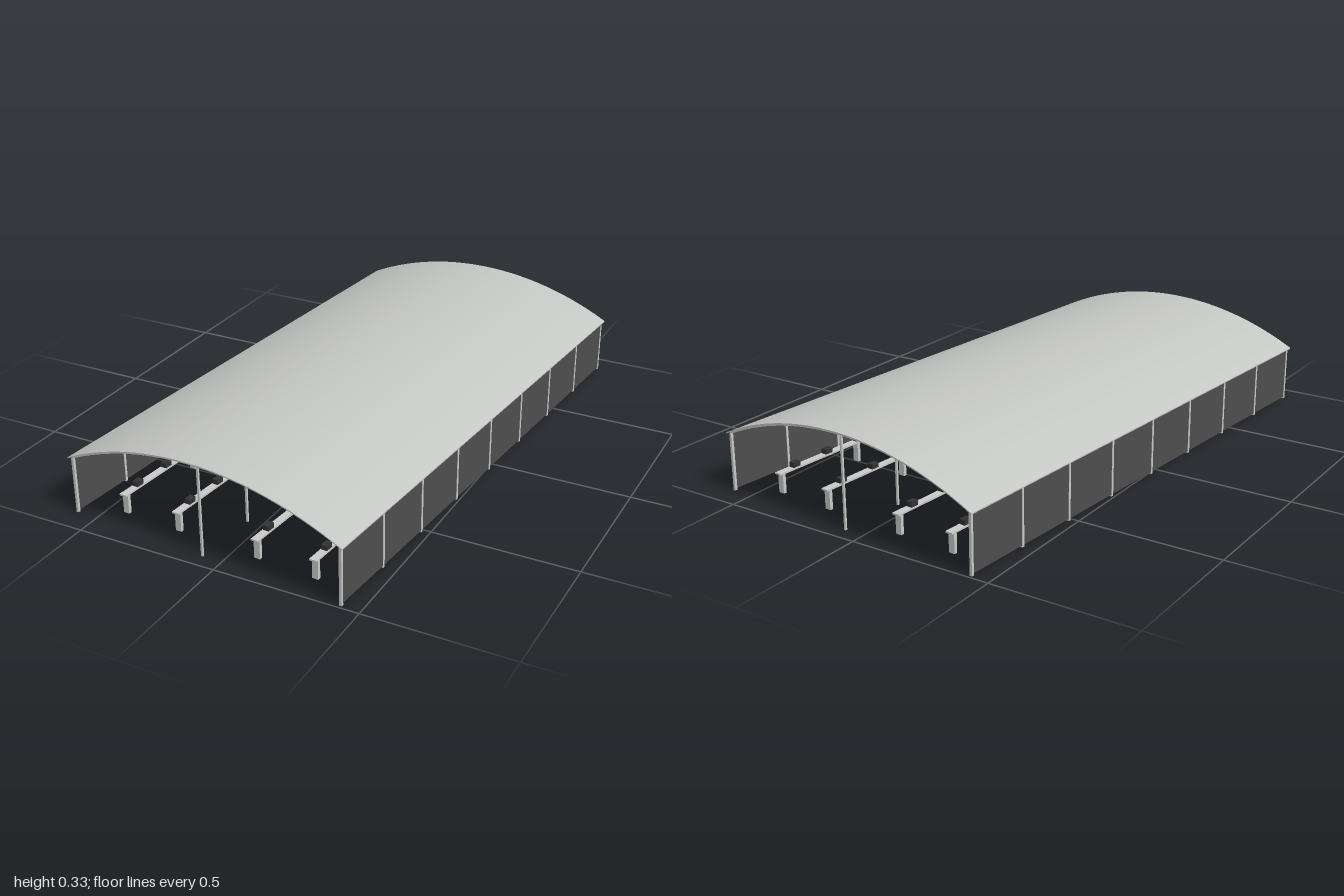
import * as THREE from 'three';

const HALF_W = 0.519, HALF_L = 0.963, EAVE = 0.204, CROWN = 0.326;
const RADIUS = (HALF_W ** 2 + (CROWN - EAVE) ** 2) / (2 * (CROWN - EAVE));

// Height of the roof's outer arc at distance u from the ridge
const roofY = (u) => CROWN - RADIUS + Math.sqrt(RADIUS ** 2 - u * u);

// Curved strip following the roof arc, from 'top' to 'bottom' below the outer surface
function arcStrip(halfWidth, top, bottom, depth) {
  const steps = 28, shape = new THREE.Shape();
  for (let i = 0; i <= steps; i++) {
    const u = -halfWidth + (2 * halfWidth * i) / steps;
    if (i) shape.lineTo(u, roofY(u) - top);
    else shape.moveTo(u, roofY(u) - top);
  }
  for (let i = steps; i >= 0; i--) {
    const u = -halfWidth + (2 * halfWidth * i) / steps;
    shape.lineTo(u, roofY(u) - bottom);
  }
  const geo = new THREE.ExtrudeGeometry(shape, { depth, bevelEnabled: false });
  geo.translate(0, 0, -depth / 2);
  return geo;
}

export function createModel() {
  const material = (name, color) => {
    const m = new THREE.MeshStandardMaterial({ color });
    m.name = name;
    return m;
  };
  const roofMat = material('roofGrey', 0xc4c6c3);
  const postMat = material('postGrey', 0xc8cac8);
  const wallMat = material('wallGrey', 0x4e4e4e);
  const darkMat = material('machineBlack', 0x323232);

  const hall = new THREE.Group();
  hall.name = 'hall';
  const add = (name, geo, mat, x = 0, y = 0, z = 0) => {
    const mesh = new THREE.Mesh(geo, mat);
    mesh.name = name;
    mesh.position.set(x, y, z);
    hall.add(mesh);
    return mesh;
  };
  const box = (name, mat, w, h, d, x, y, z) =>
    add(name, new THREE.BoxGeometry(w, h, d), mat, x, y, z);

  // Vaulted roof skin
  add('roof', arcStrip(HALF_W, 0, 0.004, HALF_L * 2), roofMat);

  // Frames: side posts, centre post and an arched rib at each bay line
  const bays = 8, frameL = 0.951, pitch = (2 * frameL) / bays;
  const ribGeo = arcStrip(0.509, 0.004, 0.011, 0.007);
  for (let i = 0; i <= bays; i++) {
    const z = -frameL + i * pitch;
    for (const s of [-1, 1]) box('sidePost', postMat, 0.009, 0.2, 0.009, s * 0.507, 0.1, z);
    box('centrePost', postMat, 0.007, CROWN - 0.006, 0.007, 0, (CROWN - 0.006) / 2, z);
    add('roofRib', ribGeo, postMat, 0, 0, z);
  }

  // Thin purlins running the length of the roof
  for (const u of [-0.34, -0.17, 0, 0.17, 0.34]) {
    const purlin = box('purlin', postMat, 0.005, 0.005, frameL * 2, u, roofY(u) - 0.0065, 0);
    purlin.rotation.z = -Math.asin(u / RADIUS);
  }

  // Side wall panels between the posts
  for (const s of [-1, 1]) {
    for (let i = 0; i < bays; i++) {
      box('wallPanel', wallMat, 0.006, 0.196, pitch - 0.009, s * 0.507, 0.104, -frameL + (i + 0.5) * pitch);
    }
  }

  // Four long benches, each with six legs and a row of dark units on top
  for (const x of [-0.367, -0.153, 0.153, 0.367]) {
    box('benchTop', postMat, 0.026, 0.006, 1.775, x, 0.071, 0);
    for (let i = 0; i < 6; i++) box('benchLeg', postMat, 0.022, 0.068, 0.012, x, 0.034, -0.87 + i * 0.348);
    for (let i = 0; i < 12; i++) box('benchUnit', darkMat, 0.021, 0.017, 0.03, x, 0.0825, -0.81 + i * 0.1473);
  }

  // The hall stands slightly turned on its plot
  hall.rotation.y = -0.0755;
  const model = new THREE.Group();
  model.name = 'openEndedHall';
  model.add(hall);
  return model;
}
